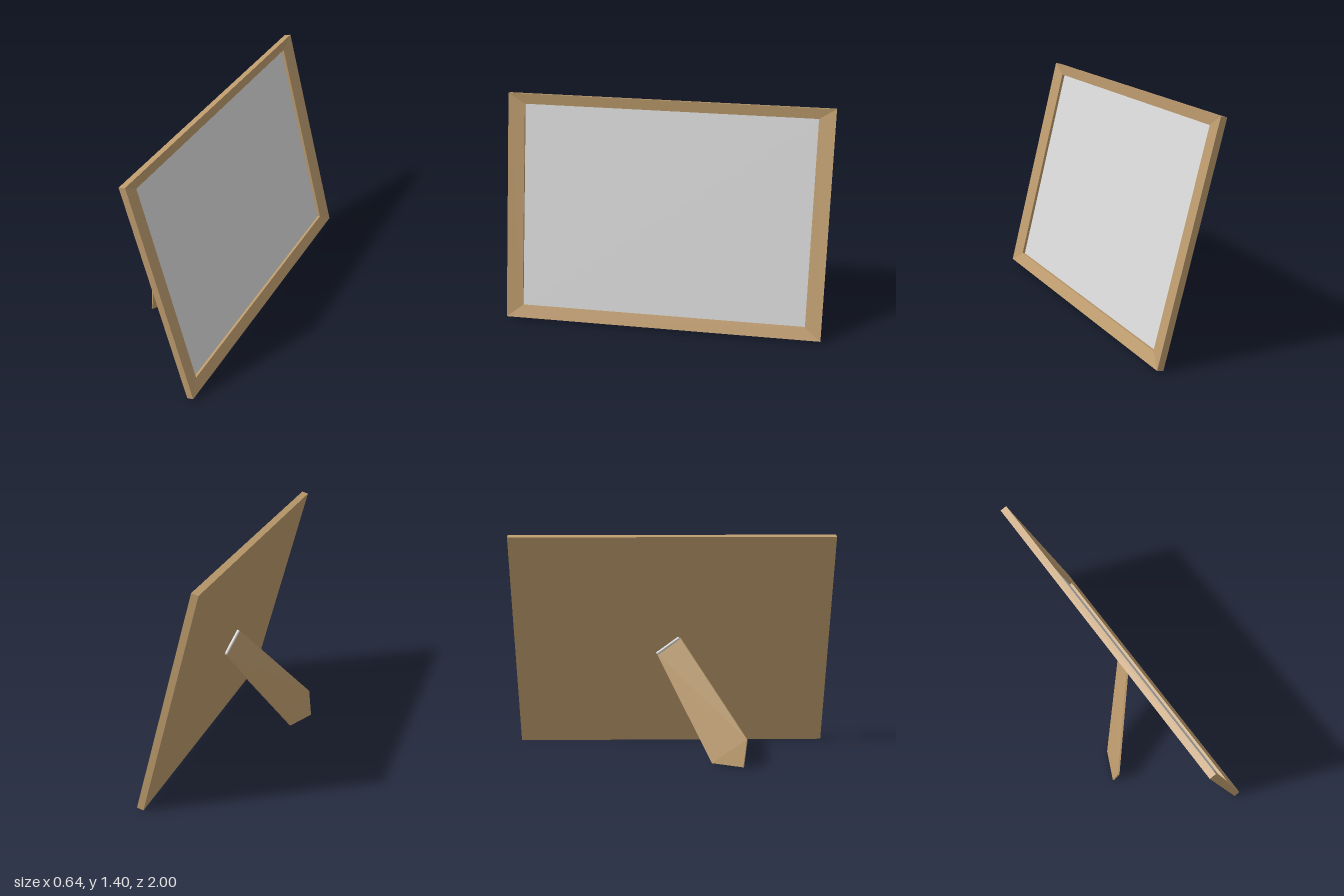
import * as THREE from 'three';

// Joins equal-length rings of corners with flat quads; caps the chosen ends.
function loft(rings, capStart, capEnd) {
  const pos = [];
  const tri = (a, b, c) => pos.push(...a, ...b, ...c);
  const n = rings[0].length;
  for (let i = 0; i < rings.length - 1; i++) {
    for (let j = 0; j < n; j++) {
      const k = (j + 1) % n;
      const [a, b, c, d] = [rings[i][j], rings[i][k], rings[i + 1][k], rings[i + 1][j]];
      tri(a, b, c);
      tri(a, c, d);
    }
  }
  const last = rings[rings.length - 1];
  for (let j = 1; j < n - 1; j++) {
    if (capStart) tri(rings[0][0], rings[0][j + 1], rings[0][j]);
    if (capEnd) tri(last[0], last[j], last[j + 1]);
  }
  const geo = new THREE.BufferGeometry();
  geo.setAttribute('position', new THREE.Float32BufferAttribute(pos, 3));
  geo.computeVertexNormals();
  return geo;
}

// Rectangle at depth x, counter-clockwise seen from +x
const rect = (x, y0, y1, z) => [[x, y0, -z], [x, y1, -z], [x, y1, z], [x, y0, z]];

export function createModel() {
  const wood = new THREE.MeshStandardMaterial({ color: 0xbe9c6e });
  wood.name = 'wood';
  const grey = new THREE.MeshStandardMaterial({ color: 0xd9d9d9 });
  grey.name = 'lightGrey';

  const model = new THREE.Group();
  model.name = 'pictureFrame';
  const add = (parent, name, geo, mat) => {
    const mesh = new THREE.Mesh(geo, mat);
    mesh.name = name;
    parent.add(mesh);
    return mesh;
  };

  // Leaning panel: local y runs up the panel, local x out of its face
  const panel = new THREE.Group();
  panel.name = 'panel';
  panel.position.set(0.278, 0.005, 0);
  panel.rotation.z = THREE.MathUtils.degToRad(15.1);
  model.add(panel);

  // Outer edge, border sloping inward, then the wall of the recess
  const low = 0.077, high = 1.3705;
  add(panel, 'frame', loft([
    rect(0, 0, 1.435, 1),
    rect(0.042, 0, 1.435, 1),
    rect(0.0255, low, high, 0.9),
    rect(0.004, low, high, 0.9),
  ], true, false), wood);

  // Picture sheet at the bottom of the recess
  const sheet = new THREE.BoxGeometry(0.004, high - low, 1.8);
  add(panel, 'pictureSheet', sheet, grey).position.set(0.006, (low + high) / 2, 0);

  // Slanted support leg: five-sided plate with a pointed foot
  const outer = [
    [-0.296, 0.174, 0.452],
    [-0.32, 0.005, 0.43],
    [-0.232, 0.004, 0.242],
    [0.105, 0.625, -0.095],
    [0.065, 0.742, 0.05],
  ];
  const t = 0.012;
  const inner = outer.map(([x, y, z]) => [x + 0.864 * t, y - 0.231 * t, z + 0.4475 * t]);
  add(model, 'supportLeg', loft([outer, inner], true, true), wood);

  // Hinge rod along the top of the leg
  const a = new THREE.Vector3(0.102, 0.63, -0.095);
  const b = new THREE.Vector3(0.067, 0.739, 0.045);
  const rod = add(model, 'hinge', new THREE.CylinderGeometry(0.01, 0.01, a.distanceTo(b), 16), grey);
  rod.position.copy(a).lerp(b, 0.5);
  rod.quaternion.setFromUnitVectors(new THREE.Vector3(0, 1, 0), b.clone().sub(a).normalize());

  return model;
}
